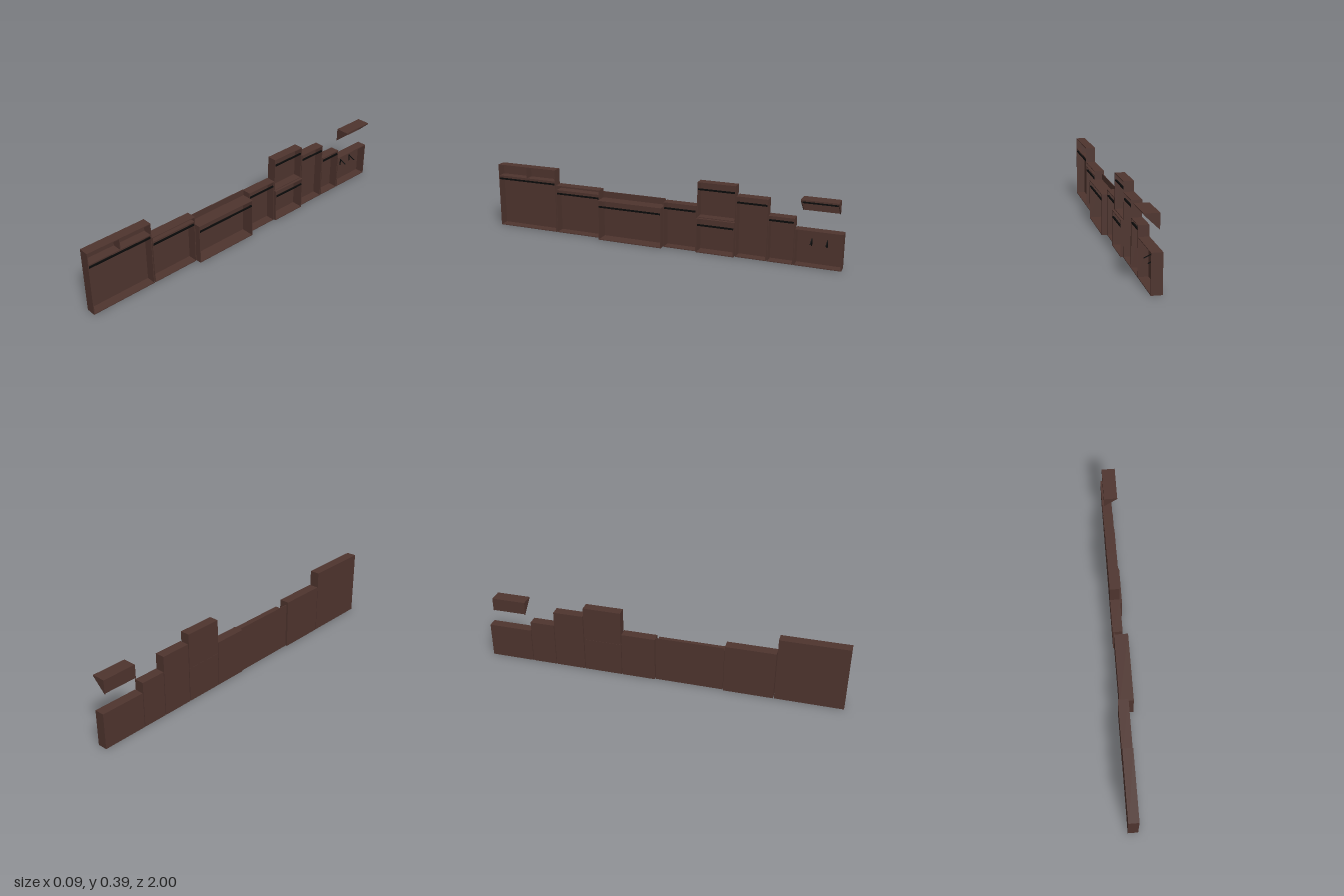
import * as THREE from 'three';

const T = 0.004; // panel thickness

export function createModel() {
  const model = new THREE.Group();
  const wood = new THREE.MeshStandardMaterial({ color: 0x4e342e });
  wood.name = 'dark brown wood';
  const black = new THREE.MeshStandardMaterial({ color: 0x0a0a0a });
  black.name = 'black metal';

  // Box given by its lower and upper corners
  function box(parent, name, mat, [x0, y0, z0], [x1, y1, z1]) {
    const mesh = new THREE.Mesh(new THREE.BoxGeometry(x1 - x0, y1 - y0, z1 - z0), mat);
    mesh.position.set((x0 + x1) / 2, (y0 + y1) / 2, (z0 + z1) / 2);
    mesh.name = name;
    parent.add(mesh);
    return mesh;
  }

  // Cabinet with an open +x side, optional shelf, divider, rail and raised back
  function cabinet({ name, x0 = -0.041, x1 = 0.013, y0 = 0, y1, z0, z1, shelf, divider, rail, backTop }) {
    const g = new THREE.Group();
    g.name = name;
    const xi = x0 + T;
    box(g, 'backPanel', wood, [x0, y0, z0], [xi, backTop ?? y1, z1]);
    box(g, 'bottomPanel', wood, [xi, y0, z0], [x1, y0 + T, z1]);
    box(g, 'topPanel', wood, [xi, y1 - T, z0], [x1, y1, z1]);
    for (const z of [z0, z1 - T]) {
      box(g, 'sidePanel', wood, [xi, y0 + T, z], [x1, y1 - T, z + T]);
    }
    if (shelf) box(g, 'shelf', wood, [xi, shelf - T, z0 + T], [x1 - 0.001, shelf, z1 - T]);
    if (divider) {
      box(g, 'divider', wood, [xi, shelf, divider - T / 2], [x1 - 0.001, y1 - T, divider + T / 2]);
    }
    if (rail) {
      box(g, 'rail', black, [x1 - 0.009, rail - 0.004, z0 + T], [x1 - 0.001, rail + 0.004, z1 - T]);
    }
    model.add(g);
  }

  [
    { name: 'tallFrontCabinet', x0: -0.042, y1: 0.365, z0: 0.63, z1: 1, shelf: 0.3, divider: 0.815, rail: 0.281 },
    { name: 'frontCabinet', x0: -0.043, y1: 0.278, z0: 0.352, z1: 0.625, shelf: 0.252, rail: 0.23 },
    { name: 'deepCounter', x0: -0.035, x1: 0.042, y1: 0.228, z0: -0.028, z1: 0.348, rail: 0.192, backTop: 0.263 },
    { name: 'middleCabinet', y1: 0.255, z0: -0.22, z1: -0.032, rail: 0.222 },
    { name: 'upperCabinet', x1: 0.012, y0: 0.192, y1: 0.387, z0: -0.435, z1: -0.224, rail: 0.348 },
    { name: 'lowerCabinet', x1: 0.025, y1: 0.191, z0: -0.435, z1: -0.224, rail: 0.154 },
    { name: 'tallRearCabinet', y1: 0.334, z0: -0.609, z1: -0.44, rail: 0.3 },
    { name: 'shortRearCabinet', y1: 0.25, z0: -0.75, z1: -0.613, rail: 0.226 },
    { name: 'hookCabinet', y1: 0.195, z0: -1, z1: -0.754 },
  ].forEach(cabinet);

  // Coat hooks: a stem on the back panel and an arm sloping down from its top
  for (const z of [-0.834, -0.914]) {
    const hook = new THREE.Group();
    hook.name = 'hook';
    box(hook, 'hookStem', black, [-0.037, 0.1, z - 0.0025], [-0.033, 0.14, z + 0.0025]);
    const arm = box(hook, 'hookArm', black, [-0.036, 0.126, z - 0.0025], [0.008, 0.13, z + 0.0025]);
    arm.rotation.z = -0.42;
    model.add(hook);
  }

  // Wedge hood with an open sloping face
  const hood = new THREE.Group();
  hood.name = 'hood';
  const [hx0, hx1, hy0, hy1, hz0, hz1] = [-0.032, 0.042, 0.287, 0.363, -0.973, -0.782];
  const end = new THREE.Shape([
    new THREE.Vector2(hx0, hy0),
    new THREE.Vector2(hx1, hy1 - 0.006),
    new THREE.Vector2(hx1, hy1),
    new THREE.Vector2(hx0, hy1),
  ]);
  for (const z of [hz0, hz1 - T]) {
    const mesh = new THREE.Mesh(new THREE.ExtrudeGeometry(end, { depth: T, bevelEnabled: false }), wood);
    mesh.position.z = z;
    mesh.name = 'hoodEnd';
    hood.add(mesh);
  }
  box(hood, 'hoodTop', wood, [hx0, hy1 - T, hz0 + T], [hx1, hy1, hz1 - T]);
  box(hood, 'hoodBack', wood, [hx0, hy0 + T, hz0 + T], [hx0 + T, hy1 - T, hz1 - T]);
  box(hood, 'hoodRail', black, [0.012, 0.339, hz0 + T], [0.018, 0.346, hz1 - T]);
  model.add(hood);

  return model;
}
